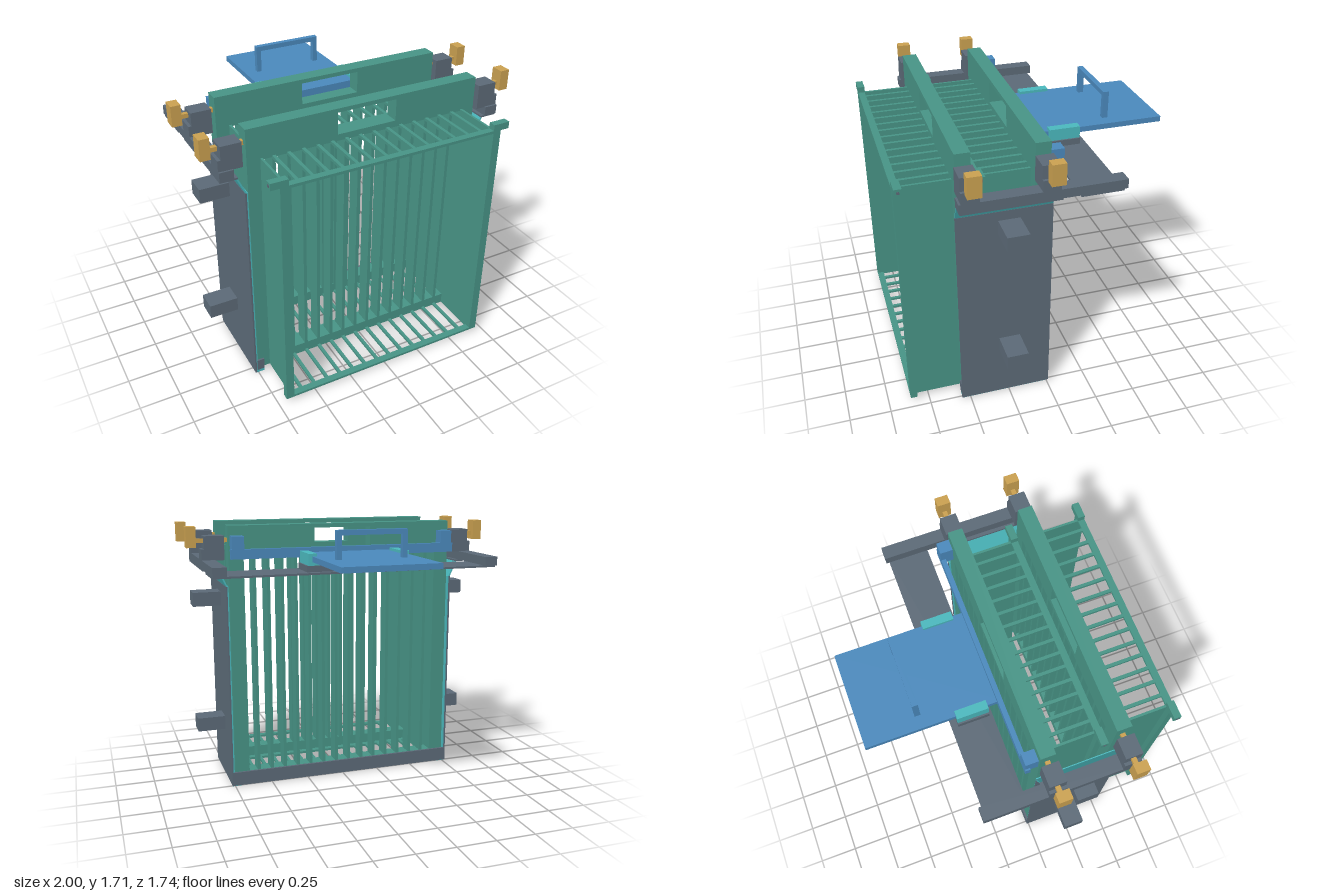
import * as THREE from 'three';

const mat = (name, color) => {
  const m = new THREE.MeshStandardMaterial({ color });
  m.name = name;
  return m;
};

export function createModel() {
  const green = mat('green', 0x479385);
  const grey = mat('slate grey', 0x5b6976);
  const teal = mat('teal', 0x4ab7bc);
  const blue = mat('blue', 0x4a88bb);
  const gold = mat('gold', 0xc9a050);

  const model = new THREE.Group();
  model.name = 'twinBasketTank';

  const group = (name, parent = model) => {
    const g = new THREE.Group();
    g.name = name;
    parent.add(g);
    return g;
  };
  // Box given by its extents on each axis
  const box = (parent, name, m, x0, x1, y0, y1, z0, z1) => {
    const mesh = new THREE.Mesh(new THREE.BoxGeometry(x1 - x0, y1 - y0, z1 - z0), m);
    mesh.position.set((x0 + x1) / 2, (y0 + y1) / 2, (z0 + z1) / 2);
    mesh.name = name;
    parent.add(mesh);
    return mesh;
  };
  // The same box on both sides of x = 0
  const pair = (parent, name, m, x0, x1, ...yz) => {
    box(parent, name + 'Left', m, x0, x1, ...yz);
    box(parent, name + 'Right', m, -x1, -x0, ...yz);
  };

  // Open-fronted basket; z = 0 is the back of its frame
  const basket = (name, z) => {
    const b = group(name);
    b.position.z = z;

    // Header board with a hand slot
    const s = new THREE.Shape();
    s.moveTo(-0.745, 1.51).lineTo(0.745, 1.51).lineTo(0.745, 1.71).lineTo(-0.745, 1.71).closePath();
    const slot = new THREE.Path();
    slot.moveTo(-0.19, 1.55).lineTo(-0.19, 1.685).lineTo(0.19, 1.685).lineTo(0.19, 1.55).closePath();
    s.holes.push(slot);
    const header = new THREE.Mesh(
      new THREE.ExtrudeGeometry(s, { depth: 0.09, bevelEnabled: false }), green);
    header.name = 'header';
    b.add(header);

    // Back frame, side plates and front flanges
    pair(b, 'backColumn', green, 0.65, 0.745, 0.03, 1.51, 0, 0.09);
    box(b, 'backBottomRail', green, -0.65, 0.65, 0.03, 0.1, 0, 0.09);
    pair(b, 'sidePlate', green, 0.65, 0.665, 0.03, 1.52, 0.09, 0.375);
    pair(b, 'frontFlange', green, 0.65, 0.7, 0.03, 1.52, 0.375, 0.417);
    box(b, 'frontTopRail', green, -0.65, 0.65, 1.503, 1.52, 0.375, 0.417);
    box(b, 'frontFloorRail', green, -0.65, 0.65, 0.03, 0.045, 0.375, 0.417);

    // Locating lugs with a small square eye
    pair(b, 'lug', green, 0.65, 0.755, 1.515, 1.557, 0.373, 0.417);
    pair(b, 'lugEye', grey, 0.755, 0.757, 1.527, 1.543, 0.387, 0.403);

    // Slot bars: back, top and floor
    for (let i = 0; i < 14; i++) {
      const x = (i - 6.5) * 0.09;
      box(b, 'backBar', green, x - 0.01, x + 0.01, 0.1, 1.51, 0, 0.09);
      box(b, 'topBar', green, x - 0.01, x + 0.01, 1.503, 1.52, 0.09, 0.375);
      box(b, 'floorBar', green, x - 0.01, x + 0.01, 0.03, 0.045, 0.09, 0.375);
    }
  };
  basket('rearBasket', 0);
  basket('frontBasket', 0.448);

  // Tank walls with teal lining, base ledge and flared lip
  const tank = group('tank');
  pair(tank, 'sideWall', grey, 0.76, 0.77, 0.01, 1.335, -0.012, 0.553);
  pair(tank, 'wallLining', teal, 0.752, 0.76, 0.01, 1.335, -0.008, 0.55);
  pair(tank, 'baseLedge', teal, 0.71, 0.766, 0.005, 0.025, -0.008, 0.55);
  pair(tank, 'frontCornerBlock', grey, 0.708, 0.755, 0.025, 0.1, 0.54, 0.552);
  box(tank, 'rearBottomRail', grey, -0.76, 0.76, 0.01, 0.1, -0.015, -0.001);
  const lip = new THREE.Shape();
  lip.moveTo(0.758, 1.335).lineTo(0.768, 1.335).lineTo(0.815, 1.437).lineTo(0.805, 1.437).closePath();
  for (const side of [1, -1]) {
    const g = new THREE.ExtrudeGeometry(lip, { depth: 0.562, bevelEnabled: false });
    const flare = new THREE.Mesh(g, teal);
    flare.name = side > 0 ? 'flaredLipLeft' : 'flaredLipRight';
    flare.position.z = -0.01;
    if (side < 0) {
      flare.rotation.y = Math.PI;
      flare.position.z = 0.552;
    }
    tank.add(flare);
  }
  for (const y of [0.345, 1.187]) pair(tank, 'mountBlock', grey, 0.77, 0.95, y, y + 0.09, 0.18, 0.31);

  // Top rim, side rails and rear shelf
  const deck = group('deck');
  pair(deck, 'rimPlate', grey, 0.805, 0.91, 1.437, 1.447, -0.015, 0.555);
  pair(deck, 'sideRail', grey, 0.828, 0.912, 1.447, 1.503, -0.39, 0.56);
  box(deck, 'rearShelf', grey, -0.91, 0.91, 1.435, 1.447, -0.37, -0.12);
  box(deck, 'lidSupport', grey, -0.335, 0.335, 1.447, 1.485, -0.33, -0.14);

  // Basket posts with locking pins
  for (const z of [0, 0.448]) {
    const p = group('lockPosts', deck);
    pair(p, 'post', grey, 0.77, 0.893, 1.5, 1.65, z - 0.003, z + 0.1);
    pair(p, 'postFoot', grey, 0.83, 0.912, 1.5, 1.57, z - 0.003, z + 0.1);
    pair(p, 'pin', gold, 0.745, 0.945, 1.607, 1.633, z + 0.03, z + 0.058);
    pair(p, 'pinHandle', gold, 0.94, 1, 1.58, 1.707, z + 0.005, z + 0.085);
  }

  // Sliding blue tray in its teal guides
  const tray = group('slidingTray');
  box(tray, 'guideBase', teal, -0.315, 0.315, 1.485, 1.505, -0.33, -0.14);
  pair(tray, 'guideSide', teal, 0.272, 0.325, 1.485, 1.557, -0.33, -0.14);
  box(tray, 'trayPlate', blue, -0.3, 0.3, 1.506, 1.54, -0.87, -0.05);
  box(tray, 'crossBar', blue, -0.745, 0.745, 1.51, 1.57, -0.08, -0.05);
  pair(tray, 'endTab', blue, 0.66, 0.735, 1.535, 1.65, -0.08, -0.002);
  pair(tray, 'handleLeg', blue, 0.19, 0.22, 1.54, 1.685, -0.55, -0.515);
  box(tray, 'handleBar', blue, -0.22, 0.22, 1.68, 1.71, -0.55, -0.515);

  return model;
}
